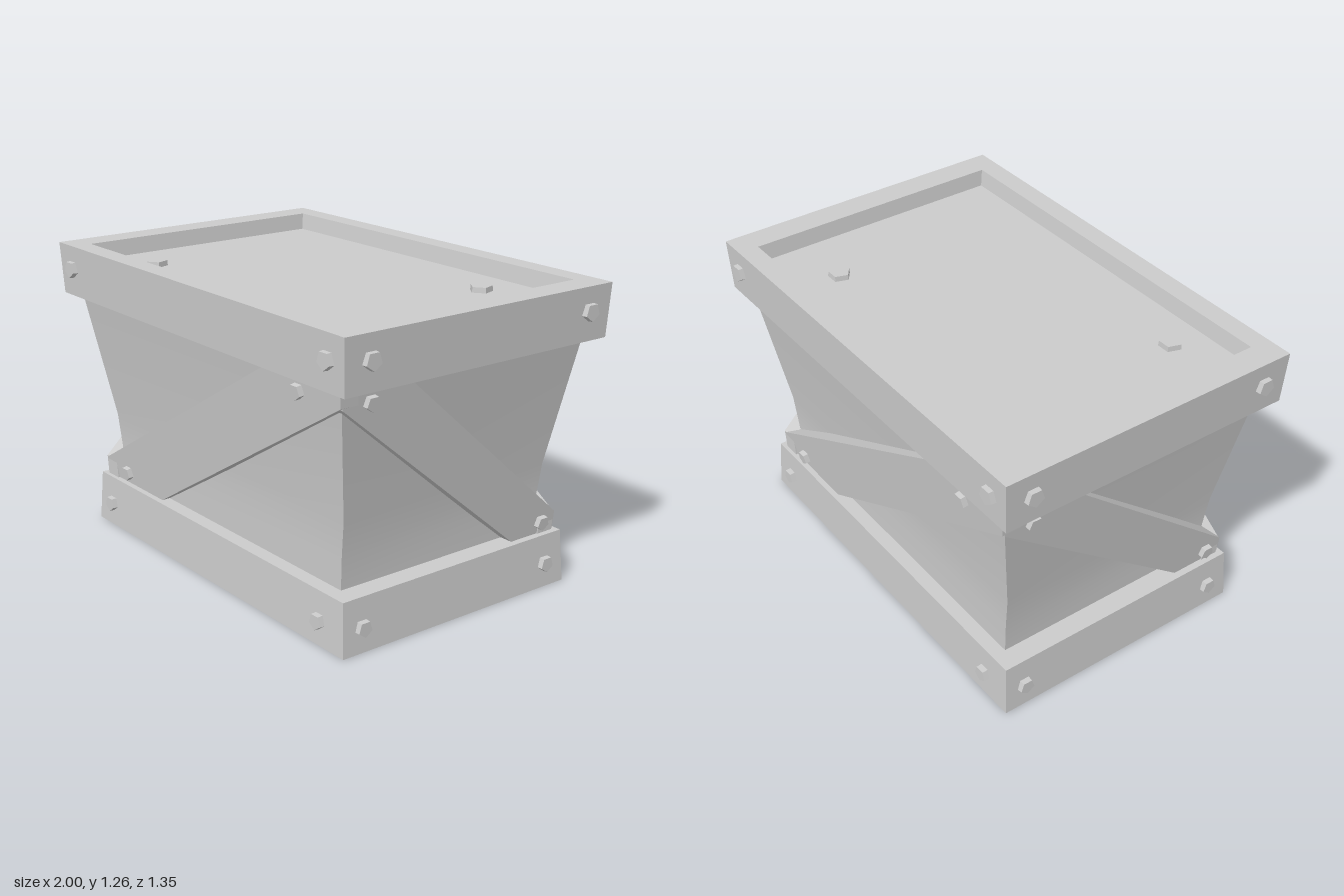
import * as THREE from 'three';
import { toCreasedNormals } from 'three/addons/utils/BufferGeometryUtils.js';

const material = new THREE.MeshStandardMaterial({ color: 0xcccccc });
const facetMaterial = new THREE.MeshStandardMaterial({ color: 0xcccccc, flatShading: true });

// Joins rectangular rings [halfX, halfZ, y], in order, and caps both ends
function loft(name, rings) {
  const corners = rings.map(([x, z, y]) => [[x, y, z], [x, y, -z], [-x, y, -z], [-x, y, z]]);
  const pos = [];
  const quad = (a, b, c, d) => pos.push(...a, ...b, ...c, ...a, ...c, ...d);
  for (let i = 0; i < rings.length - 1; i++) {
    for (let j = 0; j < 4; j++) {
      const k = (j + 1) % 4;
      quad(corners[i][j], corners[i][k], corners[i + 1][k], corners[i + 1][j]);
    }
  }
  const first = corners[0], last = corners[corners.length - 1];
  quad(first[3], first[2], first[1], first[0]);
  quad(last[0], last[1], last[2], last[3]);
  const geo = new THREE.BufferGeometry();
  geo.setAttribute('position', new THREE.Float32BufferAttribute(pos, 3));
  const mesh = new THREE.Mesh(toCreasedNormals(geo, 0.5), material);
  mesh.name = name;
  return mesh;
}

// Diagonal board that leans outward with height
function brace(points, base, slope) {
  const shape = new THREE.Shape(points.map(([x, y]) => new THREE.Vector2(x, y)));
  const geo = new THREE.ExtrudeGeometry(shape, { depth: 0.08, bevelEnabled: false });
  const p = geo.attributes.position;
  for (let i = 0; i < p.count; i++) {
    p.setZ(i, p.getZ(i) - 0.08 + base + slope * (p.getY(i) - 0.22));
  }
  geo.computeVertexNormals();
  const mesh = new THREE.Mesh(geo, material);
  mesh.name = 'diagonalBrace';
  return mesh;
}

// Five-sided bolt head facing +z
function bolt(x, y, z, r, tilt = 0) {
  const geo = new THREE.CylinderGeometry(r * 0.92, r, 0.044, 5).rotateX(Math.PI / 2);
  const mesh = new THREE.Mesh(geo, facetMaterial);
  mesh.position.set(x, y, z);
  mesh.rotation.x = tilt;
  mesh.name = 'bolt';
  return mesh;
}

// One wall's brace and bolts, built facing +z
function wall(name, s) {
  const group = new THREE.Group();
  group.name = name;
  group.add(brace(s.points, s.base, s.slope));
  for (const x of s.topBolts) group.add(bolt(x, 1.16, s.topFace, 0.04));
  for (const x of s.bottomBolts) group.add(bolt(x, 0.1, s.bottomFace, 0.036));
  for (const [x, y] of s.braceBolts) {
    group.add(bolt(x, y, s.base + s.slope * (y - 0.22), 0.034, Math.atan(s.slope)));
  }
  return group;
}

export function createModel() {
  const model = new THREE.Group();
  model.name = 'crate';

  // Base frame with a shallow recess underneath
  model.add(loft('bottomFrame', [
    [0.78, 0.475, 0.05], [0.79, 0.48, 0], [0.88, 0.575, 0], [0.865, 0.565, 0.22],
  ]));

  // Pinched body panels
  model.add(loft('body', [
    [0.775, 0.503, 0.2], [0.78, 0.504, 0.35], [0.8, 0.512, 0.5], [0.9, 0.605, 1.06],
  ]));

  // Lid frame with a recessed top panel
  model.add(loft('topFrame', [
    [0.97, 0.648, 1.04], [0.982, 0.658, 1.26], [0.865, 0.57, 1.26], [0.855, 0.558, 1.19],
  ]));

  // Walls: opposite sides repeat by a half turn
  const longSide = {
    points: [[-0.84, 0.21], [-0.42, 0.21], [0.93, 0.99], [0.936, 1.05], [0.5, 1.05], [-0.84, 0.295]],
    base: 0.54, slope: 0.12,
    topFace: 0.653, bottomFace: 0.571,
    topBolts: [-0.877, 0.885], bottomBolts: [-0.767, 0.73],
    braceBolts: [[-0.66, 0.27], [0.695, 1.0]],
  };
  const shortSide = {
    points: [[0.548, 0.21], [0.33, 0.21], [-0.62, 0.98], [-0.635, 1.05], [-0.33, 1.05], [0.548, 0.3]],
    base: 0.835, slope: 0.122,
    topFace: 0.977, bottomFace: 0.873,
    topBolts: [-0.54, 0.54], bottomBolts: [-0.48, 0.47],
    braceBolts: [[0.47, 0.27], [-0.5, 0.99]],
  };
  const names = ['frontWall', 'leftWall', 'backWall', 'rightWall'];
  names.forEach((name, i) => {
    const side = wall(name, i % 2 ? shortSide : longSide);
    side.rotation.y = i * Math.PI / 2;
    model.add(side);
  });

  // Bolts in the top and bottom panels
  const panelBolts = [
    [0.57, 1.19, -0.36, -1], [-0.605, 1.19, 0.405, -1],
    [0.52, 0.05, 0.34, 1], [-0.6, 0.05, -0.35, 1],
  ];
  for (const [x, y, z, dir] of panelBolts) {
    model.add(bolt(x, y, z, 0.05, dir * Math.PI / 2));
  }
  return model;
}
